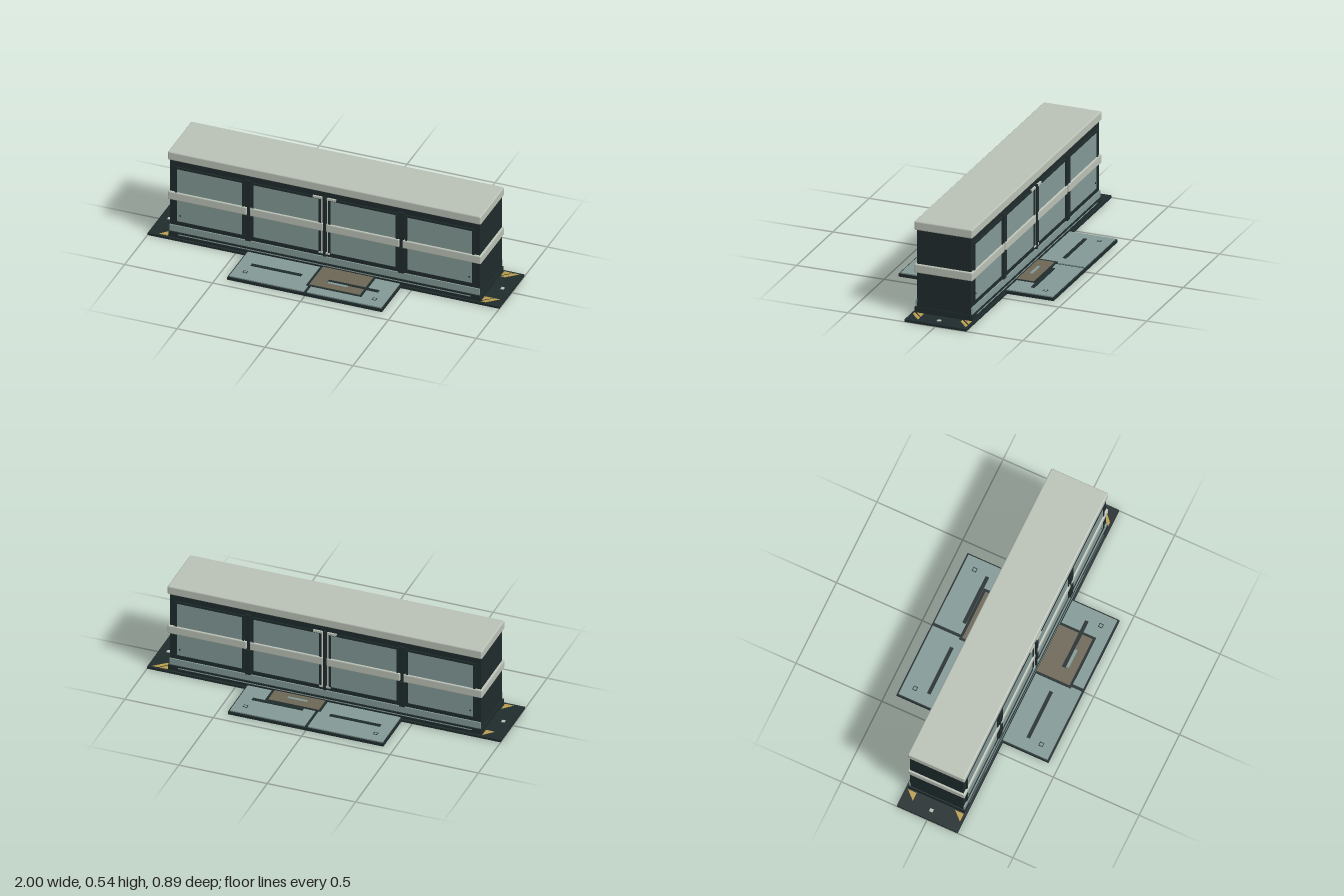
import * as THREE from 'three';
import { RoundedBoxGeometry } from 'three/addons/geometries/RoundedBoxGeometry.js';

const mat = (name, color) => {
  const m = new THREE.MeshStandardMaterial({ color });
  m.name = name;
  return m;
};

export function createModel() {
  const dark = mat('dark frame', 0x1f2b2c);
  const teal = mat('grey teal panel', 0x829895);
  const pale = mat('pale trim', 0xb9c0b5);
  const brown = mat('brown hatch', 0x6c6656);
  const gold = mat('hazard yellow', 0xb89c4e);

  const model = new THREE.Group();
  model.name = 'longCabinet';

  // Box given by its minimum and maximum on each axis, optionally rounded
  const box = (parent, name, material, [x0, x1], [y0, y1], [z0, z1], radius = 0) => {
    const s = [x1 - x0, y1 - y0, z1 - z0];
    const geo = radius ? new RoundedBoxGeometry(...s, 3, radius) : new THREE.BoxGeometry(...s);
    const mesh = new THREE.Mesh(geo, material);
    mesh.name = name;
    mesh.position.set((x0 + x1) / 2, (y0 + y1) / 2, (z0 + z1) / 2);
    parent.add(mesh);
    return mesh;
  };
  // Interval mirrored when side is -1
  const span = (side, a, b) => (side > 0 ? [a, b] : [-b, -a]);

  // Ground plate, plinth, body and roof
  box(model, 'basePlate', dark, [-1, 1], [0, 0.013], [-0.177, 0.177]);
  box(model, 'plinth', dark, [-0.885, 0.885], [0.013, 0.045], [-0.165, 0.165]);
  box(model, 'body', dark, [-0.88, 0.88], [0.045, 0.49], [-0.155, 0.155]);
  box(model, 'roof', pale, [-0.89, 0.89], [0.483, 0.535], [-0.166, 0.166], 0.008);

  // Waist band, split at the posts
  for (const sx of [-1, 1]) {
    box(model, 'waistBandOuter', pale, span(sx, 0.443, 0.89), [0.24, 0.29], [-0.166, 0.166], 0.007);
    box(model, 'waistBandInner', pale, span(sx, 0.008, 0.425), [0.24, 0.29], [-0.166, 0.166], 0.007);
  }

  // Long sides, front and back
  for (const sz of [-1, 1]) {
    const side = new THREE.Group();
    side.name = sz > 0 ? 'frontSide' : 'backSide';
    model.add(side);
    const z = (a, b) => span(sz, a, b);

    box(side, 'kickStrip', teal, [-0.88, 0.88], [0.048, 0.085], z(0.15, 0.162));
    box(side, 'plinthLine', teal, [-0.83, 0.83], [0.031, 0.036], z(0.163, 0.167));
    box(side, 'centrePost', dark, [-0.007, 0.007], [0.09, 0.455], z(0.15, 0.168));

    for (const sx of [-1, 1]) {
      // Two framed panels on each half
      for (const [a, b] of [[0.027, 0.41], [0.463, 0.845]]) {
        box(side, 'panel', teal, span(sx, a, b), [0.112, 0.434], z(0.15, 0.158));
        for (const x of [a, b])
          box(side, 'panelStile', dark, span(sx, x - 0.006, x + 0.006), [0.1, 0.446], z(0.15, 0.162));
        for (const y of [0.106, 0.44])
          box(side, 'panelRail', dark, span(sx, a, b), [y - 0.006, y + 0.006], z(0.15, 0.162));
      }
      // Posts, broken by the waist band
      for (const y of [[0.085, 0.237], [0.293, 0.457]])
        box(side, 'post', dark, span(sx, 0.42, 0.452), y, z(0.15, 0.165));
      // Centre door trim and pulls
      box(side, 'doorTrim', pale, span(sx, 0.014, 0.019), [0.105, 0.442], z(0.15, 0.164));
      box(side, 'doorPullTop', pale, span(sx, 0.014, 0.066), [0.438, 0.45], z(0.15, 0.165));
      box(side, 'doorPullBottom', pale, span(sx, 0.008, 0.032), [0.104, 0.114], z(0.15, 0.165));
      box(side, 'panelStud', dark, span(sx, 0.818, 0.826), [0.144, 0.152], z(0.155, 0.16));
    }

    // Side platform with two deck plates
    box(side, 'platform', dark, [-0.44, 0.44], [0.002, 0.018], z(0.17, 0.443));
    for (const sx of [-1, 1]) {
      box(side, 'deckPlate', teal, span(sx, 0.009, 0.432), [0.015, 0.024], z(0.172, 0.434));
      // Bolt squares
      box(side, 'boltRim', dark, span(sx, 0.356, 0.38), [0.02, 0.0246], z(0.356, 0.38));
      box(side, 'bolt', teal, span(sx, 0.36, 0.376), [0.02, 0.0252], z(0.36, 0.376));
    }
    // Hatch on the deck
    const edge = sz > 0 ? 0.375 : 0.278;
    box(side, 'hatchRim', dark, [-0.02, 0.295], [0.015, 0.0255], z(0.168, edge));
    box(side, 'hatch', brown, [-0.006, 0.281], [0.018, 0.0265], z(0.168, edge - 0.014));
    const grip = sz > 0 ? 0.309 : 0.21;
    box(side, 'hatchGrip', teal, [0.08, 0.19], [0.02, 0.0285], z(grip - 0.008, grip + 0.008));
    // Grip slots
    for (const x of [[-0.365, -0.078], [0.073, 0.36]])
      box(side, 'deckSlot', dark, x, [0.02, 0.0275], z(0.28, 0.3));
  }

  // Hazard marks and studs on the ends of the ground plate
  const marks = [
    [[0.89, 0.11], [0.935, 0.11], [0.89, 0.15]],
    [[0.945, 0.11], [0.975, 0.11], [0.915, 0.163], [0.89, 0.163]],
  ];
  const corner = [[0.892, 0.112], [0.94, 0.163], [0.892, 0.163]];
  const flat = (name, pts, sx, sz) => {
    const shape = new THREE.Shape(pts.map(([x, z]) => new THREE.Vector2(x * sx, -z * sz)));
    const geo = new THREE.ExtrudeGeometry(shape, { depth: 0.003, bevelEnabled: false });
    geo.rotateX(-Math.PI / 2);
    const mesh = new THREE.Mesh(geo, gold);
    mesh.name = name;
    mesh.position.y = 0.0125;
    model.add(mesh);
  };
  for (const sz of [-1, 1]) {
    // left end: stripes run towards the roof corner; right end: split stripes
    flat('hazardCorner', sz < 0 ? [[0.892, 0.112], [0.892, 0.163], [0.94, 0.112]] : corner, -1, sz);
    for (const pts of marks) flat('hazardStripe', sz < 0 ? pts.map(([x, z]) => [x, 0.273 - z]) : pts, 1, sz);
  }
  for (const sx of [-1, 1])
    box(model, 'endStud', pale, span(sx, 0.938, 0.956), [0.012, 0.017], [-0.01, 0.01]);

  return model;
}
